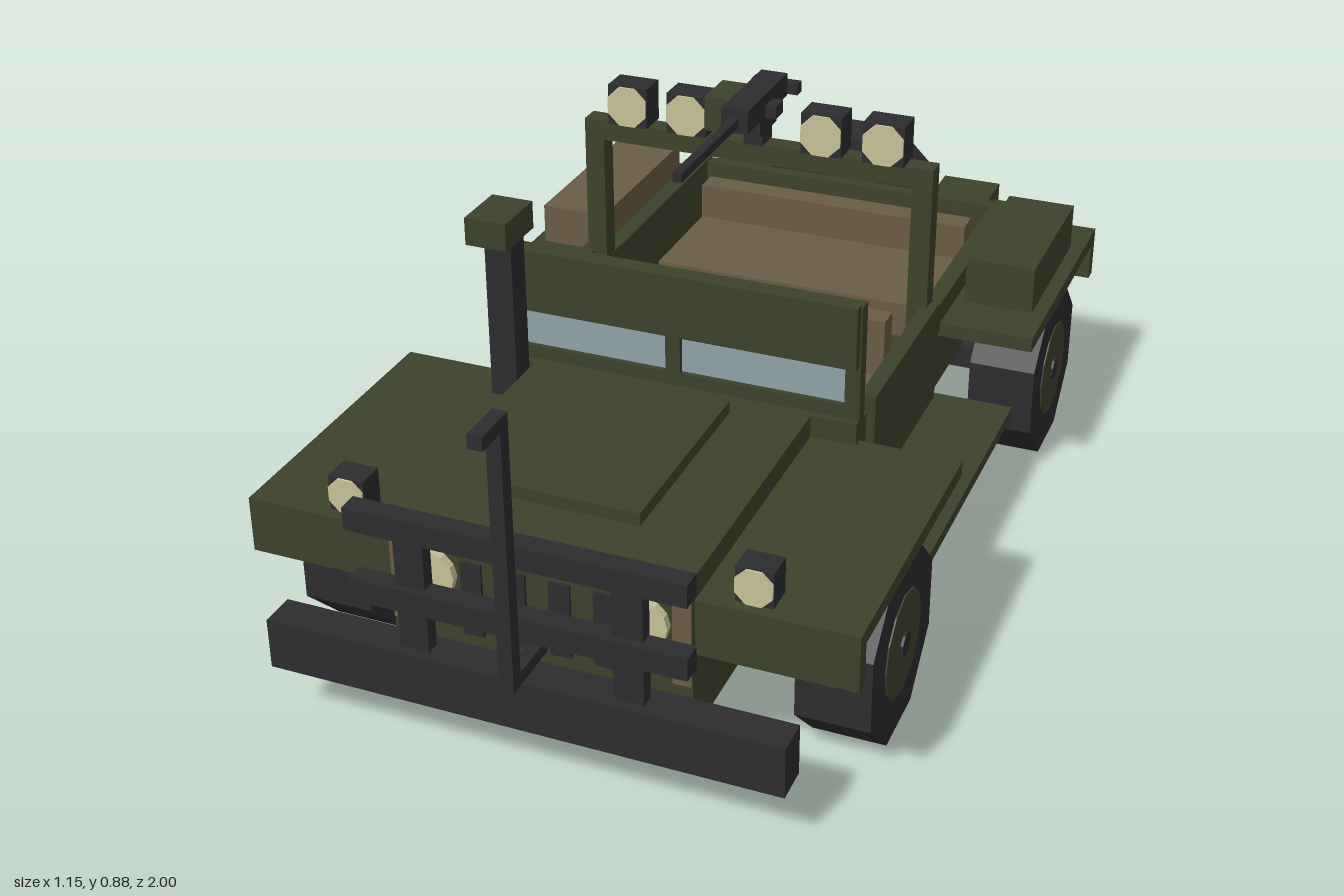
import * as THREE from 'three';

const flat = (name, color) => {
  const m = new THREE.MeshStandardMaterial({ color, flatShading: true });
  m.name = name;
  return m;
};

export function createModel() {
  const green = flat('olive paint', 0x3d422c);
  const dark = flat('black rubber and steel', 0x2d2d2f);
  const tan = flat('tan canvas', 0x6b5d46);
  const cream = flat('lamp lens', 0xc8c398);
  const glass = flat('window glass', 0x8fa4aa);
  const car = new THREE.Group();
  car.name = 'offRoadTruck';

  // Box from its limits on each axis
  const box = (name, mat, [x0, x1], [y0, y1], [z0, z1]) => {
    const mesh = new THREE.Mesh(new THREE.BoxGeometry(x1 - x0, y1 - y0, z1 - z0), mat);
    mesh.position.set((x0 + x1) / 2, (y0 + y1) / 2, (z0 + z1) / 2);
    mesh.name = name;
    car.add(mesh);
    return mesh;
  };
  // The same box on both sides
  const pair = (name, mat, [x0, x1], y, z) => {
    box(name + 'Left', mat, [x0, x1], y, z);
    box(name + 'Right', mat, [-x1, -x0], y, z);
  };
  // Disc or drum along z
  const disc = (name, mat, r, depth, sides, x, y, z, parent = car) => {
    const geo = new THREE.CylinderGeometry(r, r, depth, sides);
    geo.rotateX(Math.PI / 2);
    geo.rotateZ(Math.PI / sides * (sides === 8 ? 1 : 0));
    const mesh = new THREE.Mesh(geo, mat);
    mesh.position.set(x, y, z);
    mesh.name = name;
    parent.add(mesh);
  };
  // Eight-sided tyre with hub, axis along z
  const wheel = (name, depth) => {
    const g = new THREE.Group();
    g.name = name;
    const tyre = new THREE.CylinderGeometry(0.189, 0.189, depth, 8);
    tyre.rotateY(Math.PI / 8);
    tyre.rotateX(Math.PI / 2);
    const mesh = new THREE.Mesh(tyre, dark);
    mesh.name = 'tyre';
    g.add(mesh);
    disc('hub', green, 0.103, depth + 0.006, 12, 0, 0, 0, g);
    disc('hubCap', dark, 0.024, depth + 0.016, 8, 0, 0, 0, g);
    car.add(g);
    return g;
  };

  // Wheels and axles
  for (const z of [0.5, -0.6]) {
    for (const s of [1, -1]) {
      const w = wheel('wheel', 0.14);
      w.position.set(s * 0.49, 0.175, z);
      w.rotation.y = s * Math.PI / 2;
    }
    box('axle', dark, [-0.43, 0.43], [0.15, 0.2], [z - 0.025, z + 0.025]);
  }
  wheel('spareWheel', 0.122).position.set(0, 0.348, -0.931);
  box('spareWheelMount', dark, [-0.05, 0.05], [0.3, 0.4], [-0.88, -0.85]);

  // Chassis, engine bay and bonnet
  box('chassis', green, [-0.285, 0.285], [0.12, 0.25], [-0.86, 0.81]);
  box('engineBay', green, [-0.285, 0.285], [0.25, 0.435], [0.2, 0.81]);
  box('bonnetPanel', green, [-0.143, 0.14], [0.435, 0.46], [0.27, 0.69]);
  box('cowl', green, [-0.375, 0.375], [0.235, 0.435], [0.18, 0.225]);
  pair('grilleEdge', tan, [0.25, 0.284], [0.22, 0.43], [0.81, 0.814]);
  for (let i = 0; i < 4; i++) {
    const x = -0.126 + i * 0.084;
    box('grilleSlot', dark, [x - 0.02, x + 0.02], [0.22, 0.37], [0.81, 0.816]);
  }
  for (const s of [1, -1]) disc('grilleLamp', cream, 0.046, 0.02, 12, s * 0.2, 0.335, 0.815);

  // Tub with open top
  box('tubFloor', green, [-0.375, 0.375], [0.235, 0.262], [-0.86, 0.2]);
  pair('tubSide', green, [0.345, 0.375], [0.235, 0.43], [-0.86, 0.2]);
  pair('tubRail', green, [0.345, 0.38], [0.37, 0.435], [-0.86, -0.25]);
  box('tailgate', green, [-0.375, 0.375], [0.235, 0.43], [-0.86, -0.83]);
  pair('door', green, [0.36, 0.392], [0.25, 0.465], [-0.25, 0.165]);
  pair('runningBoard', green, [0.3, 0.53], [0.165, 0.19], [-0.37, 0.27]);
  pair('jerryCan', green, [0.2, 0.33], [0.235, 0.43], [-0.96, -0.86]);

  // Fenders with turned-down ends
  pair('frontFender', green, [0.285, 0.575], [0.36, 0.39], [0.205, 0.8]);
  pair('frontFenderLip', green, [0.285, 0.575], [0.28, 0.36], [0.77, 0.8]);
  pair('rearFender', green, [0.375, 0.575], [0.36, 0.39], [-0.885, -0.31]);
  pair('rearFenderLip', green, [0.375, 0.575], [0.28, 0.36], [-0.885, -0.855]);
  box('storageCrate', green, [0.4, 0.545], [0.39, 0.49], [-0.77, -0.425]);
  box('canvasPack', tan, [-0.55, -0.405], [0.39, 0.476], [-0.8, -0.37]);

  // Seats
  pair('seatCushion', tan, [0.07, 0.31], [0.262, 0.33], [-0.2, 0.03]);
  pair('seatBack', tan, [0.07, 0.31], [0.33, 0.455], [-0.2, -0.15]);
  box('benchCushion', tan, [-0.315, 0.315], [0.262, 0.34], [-0.72, -0.46]);
  box('benchBack', tan, [-0.315, 0.315], [0.262, 0.42], [-0.775, -0.72]);

  // Steering wheel, leaning forward
  const steering = new THREE.Group();
  steering.name = 'steeringWheel';
  disc('steeringRim', dark, 0.088, 0.014, 8, 0, 0, 0, steering);
  disc('steeringColumn', dark, 0.014, 0.1, 6, 0, 0, 0.05, steering);
  steering.position.set(0.188, 0.4, 0.125);
  steering.rotation.x = 0.3;
  car.add(steering);

  // Windscreen: frame, two panes and an armoured flap in front
  const wz = [0.18, 0.21];
  pair('windscreenPost', green, [0.345, 0.375], [0.235, 0.67], wz);
  box('windscreenTop', green, [-0.375, 0.375], [0.64, 0.67], wz);
  box('windscreenSill', green, [-0.375, 0.375], [0.43, 0.462], wz);
  box('windscreenMullion', green, [-0.015, 0.015], [0.46, 0.64], wz);
  pair('windscreenPane', glass, [0.015, 0.345], [0.462, 0.64], [0.191, 0.199]);
  box('windscreenFlap', green, [-0.372, 0.372], [0.55, 0.677], [0.21, 0.232]);

  // Snorkel
  box('snorkelPipe', dark, [-0.345, -0.29], [0.39, 0.725], [0.24, 0.295]);
  box('snorkelCap', green, [-0.36, -0.276], [0.725, 0.78], [0.225, 0.34]);

  // Roll bar with spotlights
  pair('rollBarPost', green, [0.332, 0.374], [0.25, 0.765], [-0.265, -0.222]);
  box('rollBarTop', green, [-0.374, 0.374], [0.723, 0.765], [-0.265, -0.222]);
  const lamp = (name, x, y, z, size, depth) => {
    box(name + 'Case', dark, [x - size / 2, x + size / 2], [y - size / 2, y + size / 2], [z - depth, z]);
    disc(name + 'Lens', cream, size * 0.53, 0.008, 8, x, y, z + 0.001);
  };
  for (const x of [-0.273, -0.144, 0.144, 0.273]) lamp('spotlight', x, 0.808, -0.212, 0.085, 0.063);
  for (const s of [1, -1]) lamp('headlight', s * 0.383, 0.427, 0.78, 0.069, 0.055);

  // Roof mounted gun
  box('gunPedestal', dark, [-0.02, 0.02], [0.765, 0.84], [-0.27, -0.215]);
  box('gunCradle', dark, [-0.028, 0.028], [0.8, 0.835], [-0.275, -0.18]);
  box('gunBody', dark, [-0.028, 0.028], [0.832, 0.88], [-0.335, -0.11]);
  box('gunBarrel', dark, [-0.009, 0.009], [0.845, 0.863], [-0.11, 0.18]);
  box('gunGrip', dark, [-0.05, 0.05], [0.835, 0.858], [-0.36, -0.335]);
  box('gunHandle', dark, [0.028, 0.05], [0.83, 0.856], [-0.25, -0.21]);
  box('ammunitionBox', green, [-0.093, -0.03], [0.795, 0.866], [-0.285, -0.185]);

  // Bumper, brush guard and wire cutter
  box('bumper', dark, [-0.488, 0.488], [0.12, 0.22], [0.84, 0.91]);
  pair('bumperBracket', green, [0.17, 0.23], [0.14, 0.19], [0.8, 0.845]);
  pair('guardUpright', dark, [0.174, 0.23], [0.22, 0.46], [0.862, 0.89]);
  for (const y of [0.305, 0.448]) box('guardBar', dark, [-0.315, 0.315], [y, y + 0.044], [0.865, 0.905]);
  box('cutterPole', dark, [-0.0135, 0.0135], [0.22, 0.75], [0.912, 0.94]);
  box('cutterHook', dark, [-0.0135, 0.0135], [0.726, 0.752], [0.912, 1.0]);
  box('cutterFoot', dark, [-0.0135, 0.0135], [0.22, 0.245], [0.81, 0.94]);
  return car;
}
